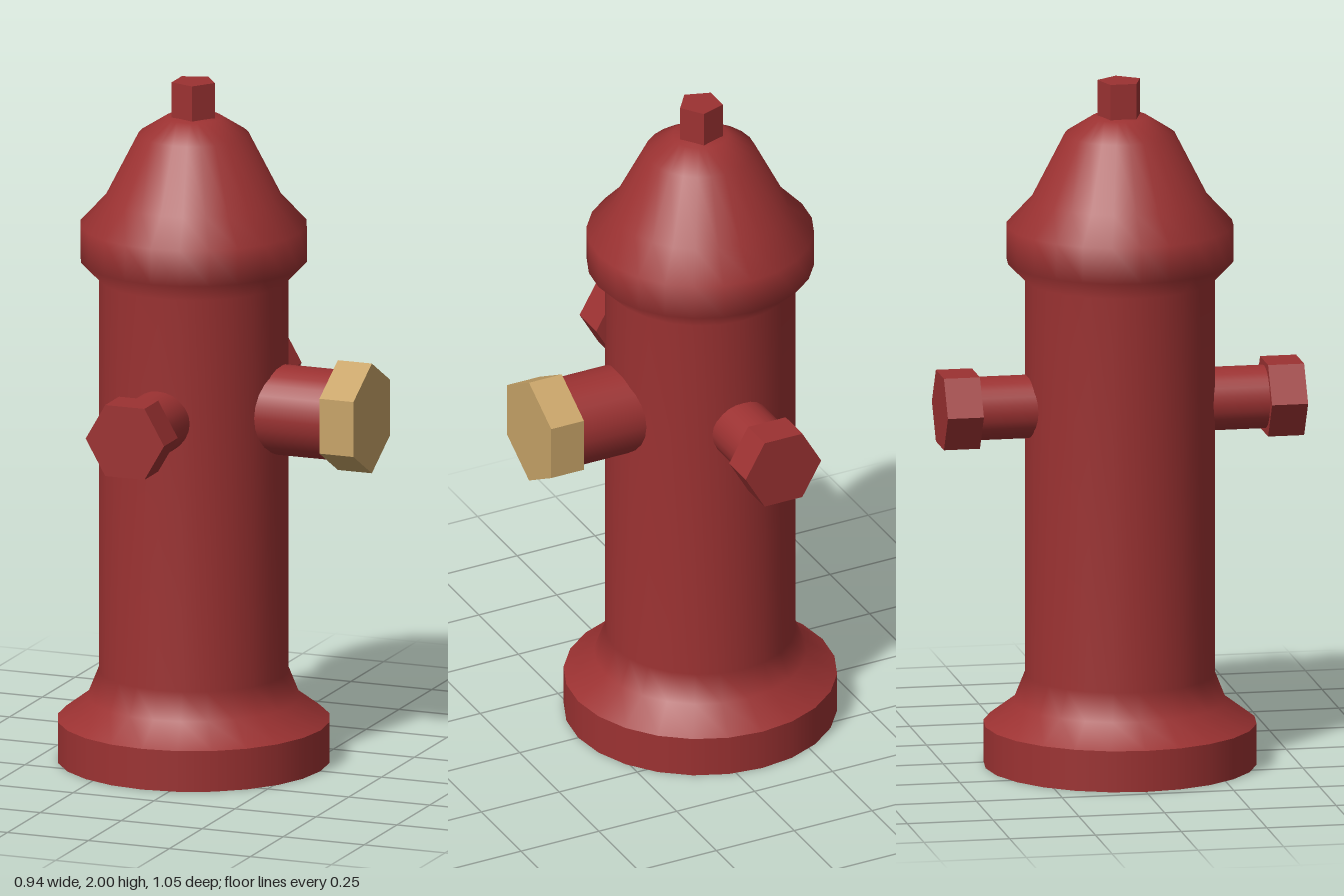
import * as THREE from 'three';

const AXIS_X = -0.08; // barrel axis
const PORT_Y = 1.056; // height of the outlets

export function createModel() {
  const red = new THREE.MeshStandardMaterial({ color: 0x9c3232 });
  red.name = 'red paint';
  const brass = new THREE.MeshStandardMaterial({ color: 0xc8a468 });
  brass.name = 'brass';

  const model = new THREE.Group();
  model.name = 'hydrant';

  const add = (parent, name, geometry, material) => {
    const mesh = new THREE.Mesh(geometry, material);
    mesh.name = name;
    parent.add(mesh);
    return mesh;
  };

  // Faceted prism along y, from y0 to y1, with a corner on +x
  const prism = (radius, y0, y1, sides) => {
    const g = new THREE.CylinderGeometry(radius, radius, y1 - y0, sides, 1, false, Math.PI / 2)
      .toNonIndexed();
    g.translate(0, (y0 + y1) / 2, 0);
    g.computeVertexNormals();
    return g;
  };

  // Base flange
  const base = add(model, 'baseFlange', new THREE.CylinderGeometry(0.392, 0.392, 0.12, 24), red);
  base.position.set(AXIS_X, 0.06, 0);

  // Barrel, collar and domed bonnet in one smooth turned profile
  const profile = [
    [0.392, 0.12], [0.305, 0.185], [0.273, 0.265], [0.273, 1.42], [0.326, 1.475],
    [0.326, 1.58], [0.252, 1.66], [0.158, 1.845], [0.08, 1.895], [0, 1.9],
  ].map(([r, y]) => new THREE.Vector2(r, y));
  add(model, 'barrelAndBonnet', new THREE.LatheGeometry(profile, 24), red).position.x = AXIS_X;

  // Five-sided operating nut
  add(model, 'topNut', prism(0.065, 1.87, 2, 5), red).position.x = AXIS_X;

  // Outlet: pipe and hexagonal cap, built along y from the barrel axis
  const outlet = (name, pipeR, capR, capStart, capEnd, capMaterial) => {
    const group = new THREE.Group();
    group.name = name;
    const pipe = new THREE.CylinderGeometry(pipeR, pipeR, capStart - 0.1, 24, 1, true);
    pipe.translate(0, (capStart + 0.1) / 2 , 0);
    add(group, 'pipe', pipe, red);
    add(group, 'hexCap', prism(capR, capStart, capEnd, 6), capMaterial);
    group.position.set(AXIS_X, PORT_Y, 0);
    model.add(group);
    return group;
  };

  // Small outlets at front and back
  for (const s of [1, -1]) {
    const small = outlet(s > 0 ? 'frontOutlet' : 'backOutlet', 0.091, 0.121, 0.42, 0.525, red);
    small.rotation.x = s * Math.PI / 2;
  }

  // Large outlet on the left side
  outlet('mainOutlet', 0.13, 0.162, 0.445, 0.55, brass).rotation.z = -Math.PI / 2;

  return model;
}
